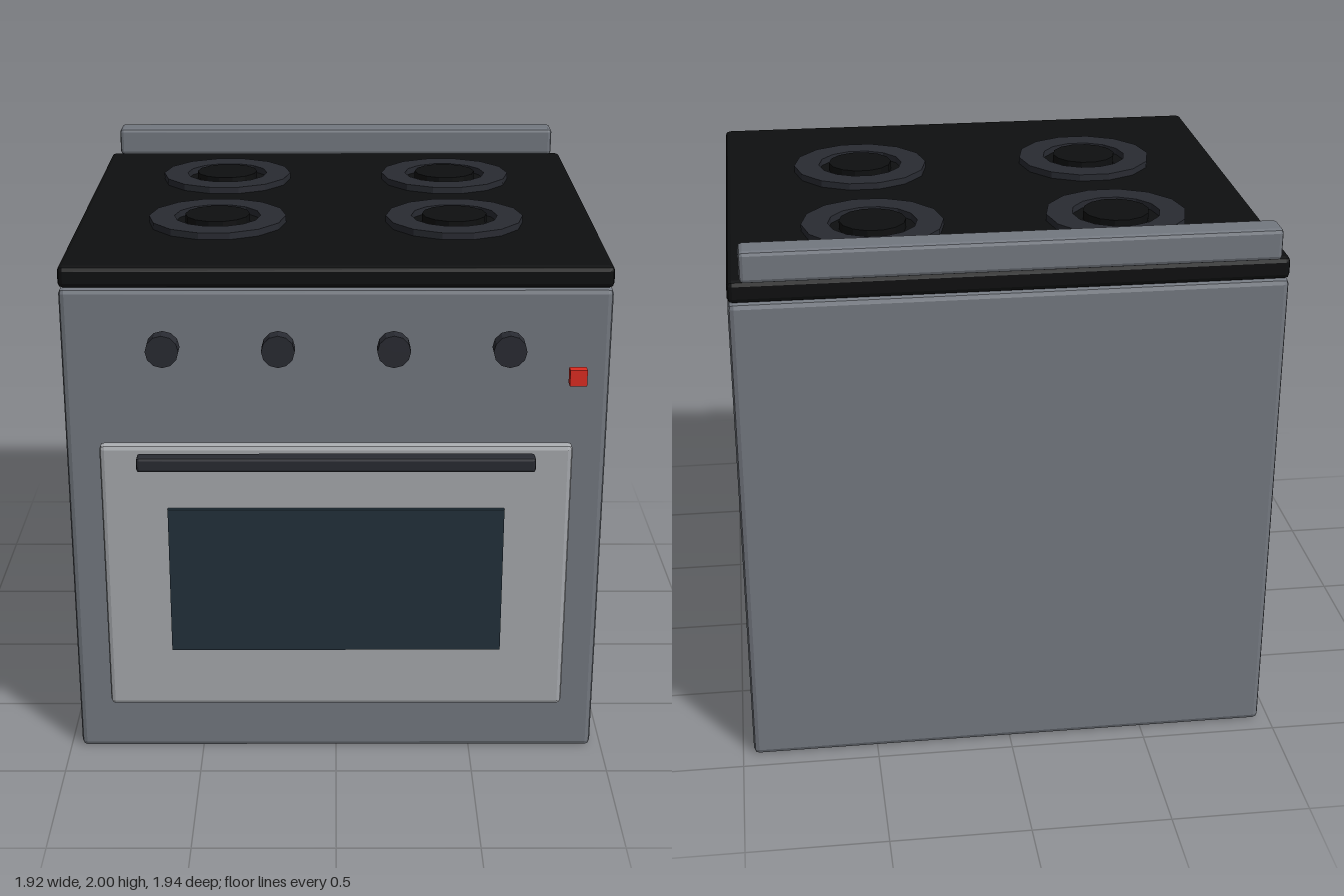
import * as THREE from 'three';
import { RoundedBoxGeometry } from 'three/addons/geometries/RoundedBoxGeometry.js';

const paint = (color) => new THREE.MeshStandardMaterial({ color, flatShading: true });
const steel = paint(0x737880);
const doorSteel = paint(0xa6a9ad);
const enamel = paint(0x0e0f10);
const iron = paint(0x292b32);
const glass = paint(0x22303a);
const red = paint(0xdd2c22);

export function createModel() {
  const model = new THREE.Group();

  const add = (name, geometry, material, x, y, z) => {
    const mesh = new THREE.Mesh(geometry, material);
    mesh.name = name;
    mesh.position.set(x, y, z);
    model.add(mesh);
    return mesh;
  };

  // Box given by its extents, with chamfered edges when bevel > 0
  const box = (name, material, [x0, x1], [y0, y1], [z0, z1], bevel = 0) => {
    const size = [x1 - x0, y1 - y0, z1 - z0];
    const geometry = bevel
      ? new RoundedBoxGeometry(...size, 1, bevel)
      : new THREE.BoxGeometry(...size);
    return add(name, geometry, material, (x0 + x1) / 2, (y0 + y1) / 2, (z0 + z1) / 2);
  };

  // Cabinet, hob plate and rear rail
  box('body', steel, [-0.96, 0.96], [0, 1.803], [-0.934, 0.822], 0.02);
  box('cooktop', enamel, [-0.96, 0.96], [1.803, 1.883], [-0.934, 0.822], 0.018);
  box('backRail', steel, [-0.917, 0.917], [1.888, 2], [-0.973, -0.861], 0.015);

  // Oven door with window and handle
  box('ovenDoor', doorSteel, [-0.837, 0.837], [0.206, 1.243], [0.822, 0.872], 0.018);
  box('ovenWindow', glass, [-0.6, 0.6], [0.445, 1.004], [0.86, 0.89]);
  box('doorHandle', iron, [-0.697, 0.697], [1.179, 1.234], [0.915, 0.971], 0.01);

  // Indicator light
  box('indicatorLight', red, [0.81, 0.87], [1.476, 1.534], [0.863, 0.902]);

  // Control knobs
  const knobGeometry = new THREE.CylinderGeometry(0.058, 0.058, 0.058, 12).rotateX(Math.PI / 2);
  for (const x of [-0.6, -0.2, 0.2, 0.6]) add('knob', knobGeometry, iron, x, 1.604, 0.881);

  // Burners: a flat ring around a slightly taller cap
  const ringProfile = [
    [0.255, 0], [0.255, 0.027], [0.16, 0.027], [0.16, 0],
  ].map(([r, y]) => new THREE.Vector2(r, y));
  const ringGeometry = new THREE.LatheGeometry(ringProfile, 14).rotateY(Math.PI / 2);
  const capGeometry = new THREE.CylinderGeometry(0.12, 0.12, 0.034, 14).rotateY(Math.PI / 2);
  for (const x of [-0.44, 0.44]) {
    for (const z of [-0.456, 0.225]) {
      add('burnerRing', ringGeometry, iron, x, 1.881, z);
      add('burnerCap', capGeometry, enamel, x, 1.898, z);
    }
  }

  return model;
}
